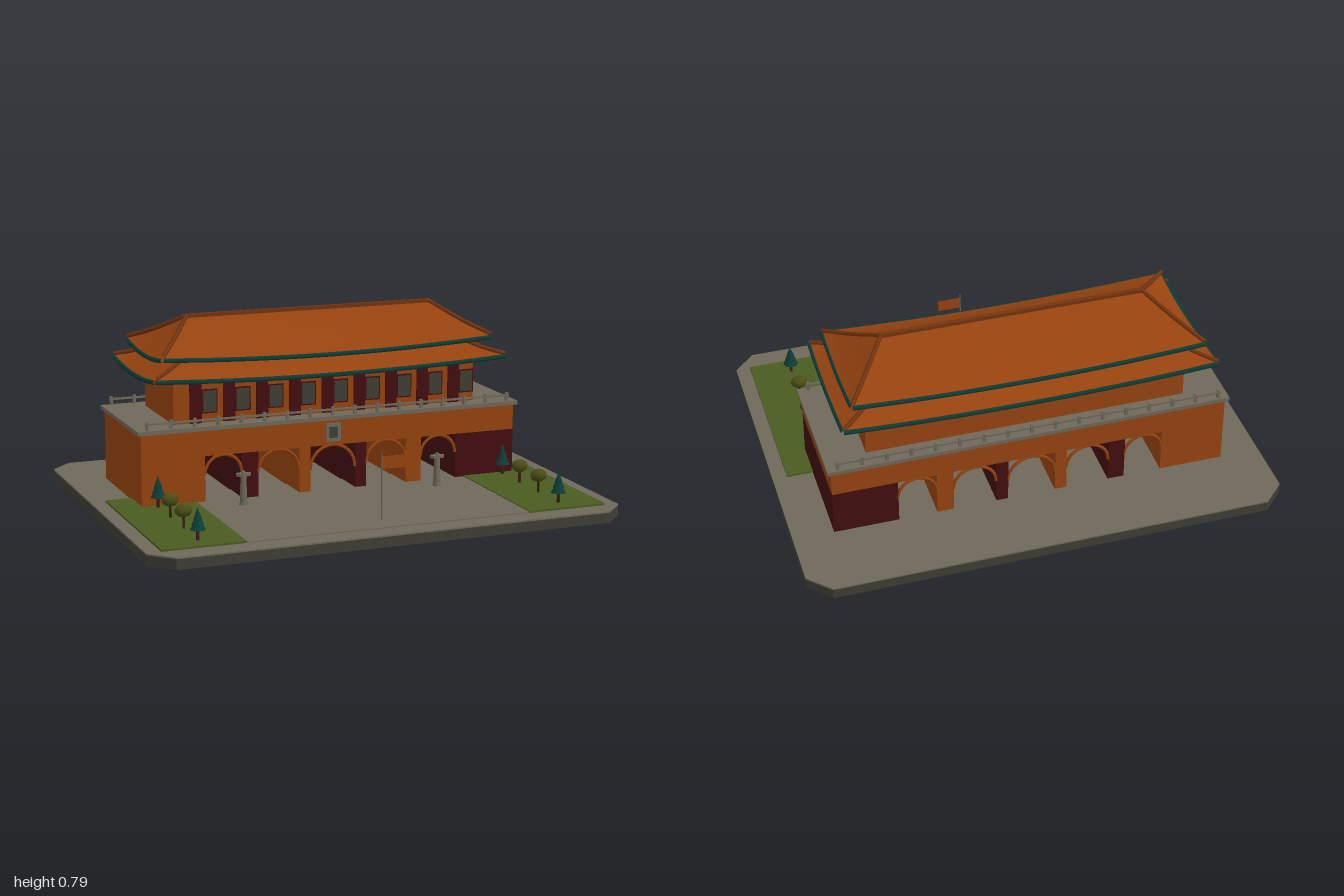
import * as THREE from 'three';

const mat = (name, color, side = THREE.FrontSide) => {
  const m = new THREE.MeshStandardMaterial({ color, side });
  m.name = name;
  return m;
};

export function createModel() {
  const root = new THREE.Group();
  root.name = 'gateTower';
  const orange = mat('orange', 0x97430f, THREE.DoubleSide);
  const ridgeBrown = mat('ridgeBrown', 0x74340f);
  const darkRed = mat('darkRed', 0x430e10);
  const stone = mat('stone', 0x6f695a);
  const darkStone = mat('darkStone', 0x3f3d35);
  const teal = mat('teal', 0x0c3c36);
  const grass = mat('grass', 0x4a5b20);
  const olive = mat('olive', 0x4c4c16);
  const trunkBrown = mat('trunkBrown', 0x3a2113);

  const add = (name, geo, m, x = 0, y = 0, z = 0, parent = root) => {
    const mesh = new THREE.Mesh(geo, m);
    mesh.name = name;
    mesh.position.set(x, y, z);
    parent.add(mesh);
    return mesh;
  };
  // Box given by its limits
  const box = (name, m, x0, x1, y0, y1, z0, z1) =>
    add(name, new THREE.BoxGeometry(x1 - x0, y1 - y0, z1 - z0), m,
      (x0 + x1) / 2, (y0 + y1) / 2, (z0 + z1) / 2);

  // Chamfered base with a thin paving layer
  const outline = new THREE.Shape([
    [-1, -0.705], [-0.91, -0.795], [0.91, -0.795], [1, -0.705],
    [1, 0.705], [0.91, 0.795], [-0.91, 0.795], [-1, 0.705],
  ].map(([x, y]) => new THREE.Vector2(x, y)));
  const slab = (name, m, y, depth) => {
    const geo = new THREE.ExtrudeGeometry(outline, { depth, bevelEnabled: false });
    add(name, geo.rotateX(-Math.PI / 2), m, 0, y, 0);
  };
  slab('base', darkStone, 0, 0.042);
  slab('paving', stone, 0.042, 0.006);
  box('plaza', stone, -0.6, 0.6, 0.046, 0.052, -0.08, 0.7);
  for (const s of [-1, 1]) {
    box('lawn', grass, s * 0.77 - 0.17, s * 0.77 + 0.17, 0.046, 0.056, -0.08, 0.7);
  }

  // Gate wall: piers, lintel and terrace
  const zf = 0.07, zb = -0.47;
  const piers = [
    [-0.83, -0.56, orange], [-0.4, -0.33, darkRed], [-0.15, -0.1, orange],
    [0.1, 0.15, darkRed], [0.33, 0.4, orange], [0.56, 0.83, darkRed],
  ];
  for (const [a, b, m] of piers) box('pier', m, a, b, 0.046, 0.242, zb, zf);
  box('wallTop', orange, -0.83, 0.83, 0.242, 0.35, zb, zf);
  box('terrace', stone, -0.845, 0.845, 0.35, 0.367, zb - 0.012, zf + 0.012);

  // Arch rings in every gateway, front and back
  for (let i = 0; i < piers.length - 1; i++) {
    const a = piers[i][1], b = piers[i + 1][0], r = (b - a) / 2;
    for (const z of [zf - 0.005, zb + 0.005]) {
      add('archRing', new THREE.TorusGeometry(r, 0.007, 6, 20, Math.PI), orange,
        (a + b) / 2, 0.242 - r, z);
    }
  }

  // Terrace railings
  for (const z of [0.066, -0.466]) {
    box('rail', stone, -0.81, 0.81, 0.388, 0.396, z - 0.004, z + 0.004);
    for (let i = 0; i <= 16; i++) {
      const x = -0.8 + i * 0.1;
      box('railPost', stone, x - 0.006, x + 0.006, 0.366, 0.404, z - 0.006, z + 0.006);
    }
  }

  // Hall with columns and windows on the front
  box('hall', orange, -0.67, 0.67, 0.366, 0.59, -0.4, 0);
  box('upperHall', orange, -0.64, 0.64, 0.58, 0.65, -0.395, -0.005);
  for (let i = 0; i < 9; i++) {
    const x = -0.576 + i * 0.144;
    box('column', darkRed, x - 0.025, x + 0.025, 0.366, 0.56, -0.005, 0.009);
    box('windowFrame', darkRed, x + 0.026, x + 0.094, 0.405, 0.505, -0.002, 0.004);
    box('window', darkStone, x + 0.032, x + 0.088, 0.411, 0.499, -0.002, 0.008);
  }

  // Hipped roof with lifted corners
  const roof = (name, { ex, ez, tx, tz, y0, y1, lift, dip }) => {
    const g = new THREE.Group();
    g.name = name;
    g.position.z = -0.2;
    root.add(g);
    const point = (k, u, t) => {
      const hx = THREE.MathUtils.lerp(ex, tx, t), hz = THREE.MathUtils.lerp(ez, tz, t);
      const y = y0 + (y1 - y0) * Math.pow(t, dip) + lift * u * u * (1 - t) ** 2;
      const s = k < 2 ? 1 : -1;
      return k % 2 === 0
        ? new THREE.Vector3(s * u * hx, y, s * hz)
        : new THREE.Vector3(s * hx, y, -s * u * hz);
    };
    for (let k = 0; k < 4; k++) {
      const geo = new THREE.PlaneGeometry(2, 1, 20, 8);
      const p = geo.attributes.position;
      for (let i = 0; i < p.count; i++) {
        const v = point(k, p.getX(i), p.getY(i) + 0.5);
        p.setXYZ(i, v.x, v.y, v.z);
      }
      geo.computeVertexNormals();
      add('roofSlope', geo, orange, 0, 0, 0, g);
      // Eave band
      const eave = [];
      for (let i = 0; i <= 12; i++) {
        eave.push(point(k, -1 + i / 6, 0).add(new THREE.Vector3(0, -0.008, 0)));
      }
      add('eaveBand', new THREE.TubeGeometry(new THREE.CatmullRomCurve3(eave), 24, 0.01, 6),
        teal, 0, 0, 0, g);
      // Hip ridge
      const a = point(k, 1, 0), b = point(k, 1, 1);
      const mid = a.clone().lerp(b, 0.5).lerp(point(k, 1, 0.5), 0.5);
      add('hipRidge', new THREE.TubeGeometry(new THREE.CatmullRomCurve3([a, mid, b]), 12, 0.009, 6),
        ridgeBrown, 0, 0.004, 0, g);
    }
    return g;
  };
  roof('lowerRoof', { ex: 0.775, ez: 0.3, tx: 0.64, tz: 0.195, y0: 0.555, y1: 0.622, lift: 0.022, dip: 1.1 });
  const top = roof('upperRoof', { ex: 0.728, ez: 0.258, tx: 0.545, tz: 0, y0: 0.632, y1: 0.775, lift: 0.024, dip: 1.12 });
  add('mainRidge', new THREE.BoxGeometry(1.1, 0.018, 0.018), ridgeBrown, 0, 0.776, 0, top);

  // Plaque above the middle arch
  box('plaque', stone, -0.032, 0.032, 0.258, 0.335, 0.068, 0.077);
  box('plaquePanel', darkStone, -0.018, 0.018, 0.274, 0.32, 0.076, 0.079);

  // Flagpole and flag
  add('flagpole', new THREE.CylinderGeometry(0.003, 0.003, 0.28, 8), stone, 0, 0.19, 0.595);
  box('flag', orange, 0.002, 0.1, 0.26, 0.31, 0.594, 0.597);

  for (const s of [-1, 1]) {
    // Carved stone pillars
    const x = s * 0.43;
    add('pillarFoot', new THREE.CylinderGeometry(0.018, 0.02, 0.015, 8), stone, x, 0.055, 0.17);
    add('pillar', new THREE.CylinderGeometry(0.012, 0.016, 0.125, 12), stone, x, 0.112, 0.17);
    add('pillarWing', new THREE.CylinderGeometry(0.016, 0.016, 0.012, 12), stone, x, 0.178, 0.17)
      .scale.x = 2;
    add('pillarTop', new THREE.SphereGeometry(0.009, 10, 6), stone, x, 0.186, 0.17);

    // Conifers
    for (const z of [0.1, 0.62]) {
      add('trunk', new THREE.CylinderGeometry(0.006, 0.007, 0.06, 6), trunkBrown, s * 0.77, 0.08, z);
      for (let i = 0; i < 3; i++) {
        add('coniferTier', new THREE.ConeGeometry(0.032 - i * 0.007, 0.048, 8), teal,
          s * 0.77, 0.122 + i * 0.02, z);
      }
    }
    // Round trees
    for (const z of [0.265, 0.44]) {
      add('trunk', new THREE.CylinderGeometry(0.005, 0.006, 0.07, 6), trunkBrown, s * 0.77, 0.085, z);
      add('treeCrown', new THREE.SphereGeometry(0.027, 10, 8), olive, s * 0.77, 0.128, z)
        .scale.set(1.35, 1, 0.95);
    }
  }
  return root;
}
